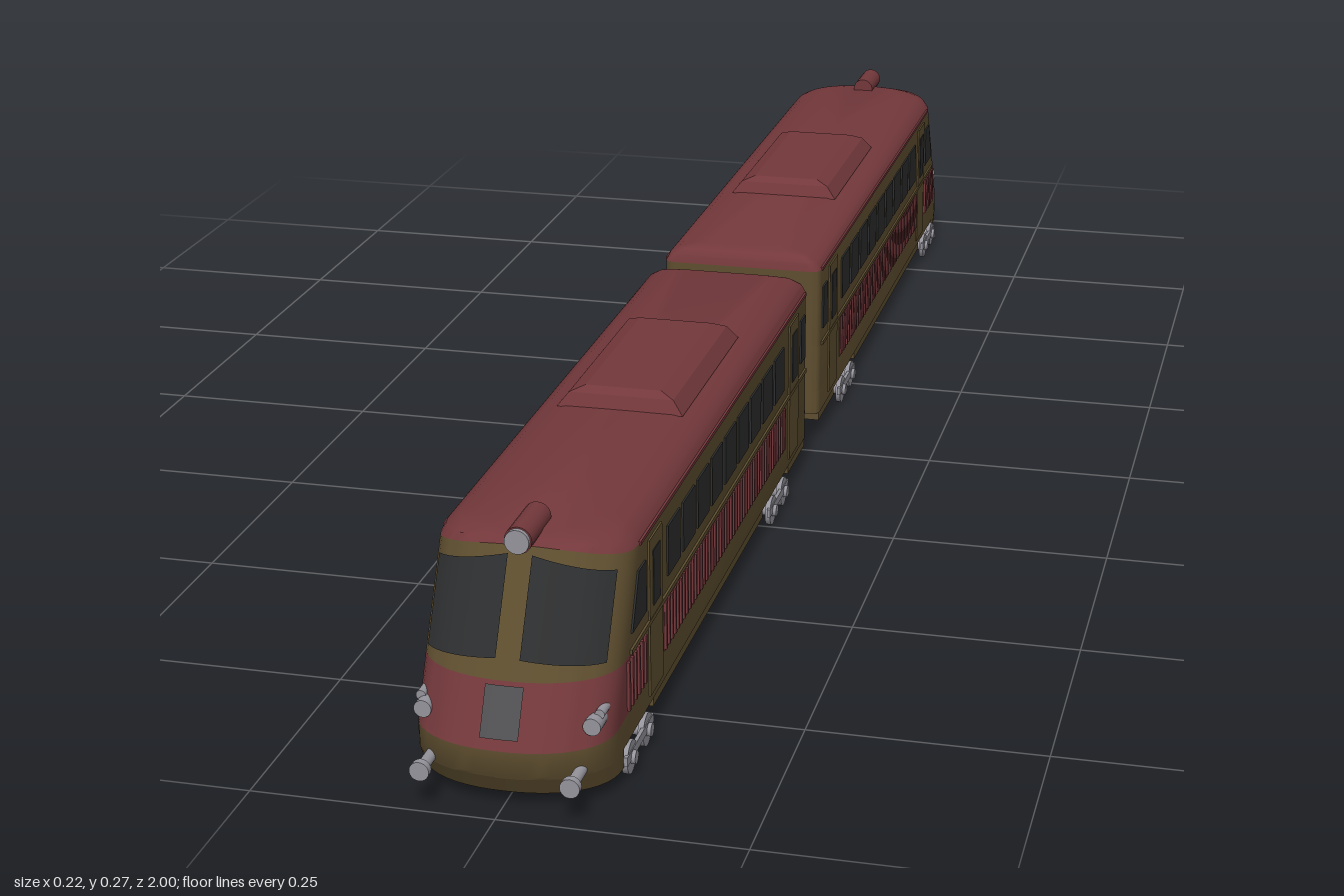
import * as THREE from 'three';
import { mergeGeometries, toCreasedNormals } from 'three/addons/utils/BufferGeometryUtils.js';

const mat = (name, color, side = THREE.FrontSide) => {
  const m = new THREE.MeshStandardMaterial({ color, side });
  m.name = name;
  return m;
};

// Side profile of the nose: [height, z of its foremost point]
const TIP = [[0.015, 0.97], [0.04, 0.985], [0.065, 0.985], [0.125, 0.955], [0.24, 0.893], [0.25, 0.86]];
const HALF = 0.1, DEPTH = 0.07, POW = 2.2, STEPS = 24;

function tip(y) {
  for (let i = 1; i < TIP.length; i++) {
    const [y0, z0] = TIP[i - 1], [y1, z1] = TIP[i];
    if (y <= y1) return z0 + (z1 - z0) * Math.max(0, (y - y0) / (y1 - y0));
  }
  return TIP[TIP.length - 1][1];
}

// Point on the rounded nose, u from -1 to 1 across the width
function nosePoint(u, y, w = HALF) {
  const k = Math.pow(Math.max(0, 1 - Math.pow(Math.abs(u), POW)), 1 / POW);
  return new THREE.Vector3(u * w, y, tip(y) - DEPTH * (1 - k));
}

// Horizontal outline of the car: nose, left side, rounded rear, right side
function ring({ y, w = HALF, rise = 0, rear = 0.035, r = 0.012 }) {
  const pts = [];
  for (let i = 0; i <= STEPS; i++) {
    const u = Math.sin((i / STEPS - 0.5) * Math.PI);
    pts.push(nosePoint(u, y + rise * (1 - u * u), w));
  }
  const zb = Math.max(rear + r, Math.min(0.81, tip(y) - DEPTH - 0.005));
  const z0 = rear + (HALF - w) * 0.5;
  pts.push(new THREE.Vector3(w, y, zb));
  for (let c = 0; c < 2; c++) {
    for (let i = 0; i <= 4; i++) {
      const a = (c + i / 4) * Math.PI / 2;
      const cx = c ? -(w - r) : w - r;
      pts.push(new THREE.Vector3(cx + r * Math.cos(a), y, z0 + r - r * Math.sin(a)));
    }
  }
  pts.push(new THREE.Vector3(-w, y, zb));
  return pts;
}

function triangles(list) {
  const g = new THREE.BufferGeometry().setFromPoints(list);
  g.computeVertexNormals();
  return toCreasedNormals(g, 0.6);
}

// Skin between stacked outlines; pick chooses which strips to keep
function loft(layers, pick = () => true, capTop = false, capBottom = false) {
  const rings = layers.map(ring), out = [], n = rings[0].length;
  for (let k = 0; k + 1 < rings.length; k++) {
    for (let i = 0; i < n; i++) {
      if (!pick(i, n)) continue;
      const j = (i + 1) % n, [lo, hi] = [rings[k], rings[k + 1]];
      out.push(lo[i], lo[j], hi[j], lo[i], hi[j], hi[i]);
    }
  }
  const cap = (pts, up) => {
    const c = new THREE.Vector3();
    pts.forEach(p => c.addScaledVector(p, 1 / pts.length));
    pts.forEach((p, i) => {
      const q = pts[(i + 1) % n];
      out.push(c, ...(up ? [p, q] : [q, p]));
    });
  };
  if (capTop) cap(rings[rings.length - 1], true);
  if (capBottom) cap(rings[0], false);
  return triangles(out);
}

// Thin curved plate lying just above the nose; heights vary from one edge to the other
function nosePatch(u0, u1, bottom, top, lift) {
  const N = 12, M = 4, out = [];
  const at = (i, j) => {
    const s = i / N, u = u0 + (u1 - u0) * s;
    const b = bottom[0] + (bottom[1] - bottom[0]) * s, t = top[0] + (top[1] - top[0]) * s;
    const y = b + (t - b) * j / M, e = 0.002;
    const du = nosePoint(u + e, y).sub(nosePoint(u - e, y));
    const dy = nosePoint(u, y + e).sub(nosePoint(u, y - e));
    return nosePoint(u, y).addScaledVector(du.cross(dy).normalize(), lift);
  };
  for (let i = 0; i < N; i++) for (let j = 0; j < M; j++) {
    const a = at(i, j), b = at(i + 1, j), c = at(i + 1, j + 1), d = at(i, j + 1);
    out.push(a, b, c, a, c, d);
  }
  return triangles(out);
}

const box = (x0, x1, y0, y1, z0, z1) =>
  new THREE.BoxGeometry(x1 - x0, y1 - y0, z1 - z0).translate((x0 + x1) / 2, (y0 + y1) / 2, (z0 + z1) / 2);
const rod = (r, x, y, z0, z1) =>
  new THREE.CylinderGeometry(r, r, z1 - z0, 20).rotateX(Math.PI / 2).translate(x, y, (z0 + z1) / 2);
const disc = (r, x0, x1, y, z) =>
  new THREE.CylinderGeometry(r, r, x1 - x0, 20).rotateZ(Math.PI / 2).translate((x0 + x1) / 2, y, z);

export function createModel() {
  const red = mat('red paint', 0x73383b);
  const brown = mat('olive brown paint', 0x5e4e2f);
  const glass = mat('dark glass', 0x2d2e2f, THREE.DoubleSide);
  const rubber = mat('dark rubber', 0x38383a);
  const steel = mat('light steel', 0x96949c);
  const grey = mat('grille grey', 0x505052, THREE.DoubleSide);

  function buildCar(name) {
    const car = new THREE.Group();
    car.name = name;
    const add = (n, material, ...geos) => {
      const m = new THREE.Mesh(geos.length > 1 ? mergeGeometries(geos) : geos[0], material);
      m.name = n;
      car.add(m);
    };
    const isNose = (i, n) => i <= STEPS || i === n - 1;

    // Body shell in colour bands
    const eaves = { y: 0.225, rise: 0.015 };
    add('lowerBody', brown, loft([{ y: 0.035 }, { y: 0.04 }, { y: 0.065 }], undefined, false, true));
    add('noseBand', red, loft([{ y: 0.065 }, { y: 0.125 }], isNose));
    add('sideBand', brown, loft([{ y: 0.065 }, { y: 0.125 }], (i, n) => !isNose(i, n)));
    add('upperBody', brown, loft([{ y: 0.125 }, eaves]));
    add('roof', red, loft([eaves, { y: 0.235, w: 0.095, rise: 0.009 }, { y: 0.242, w: 0.084, rise: 0.005 },
      { y: 0.247, w: 0.06, rise: 0.001 }], undefined, true));
    add('noseSkirt', brown, loft([{ y: 0.015, rear: 0.893, r: 0.004 }, { y: 0.036, rear: 0.893, r: 0.004 }], undefined, false, true));

    // Skirts and equipment between the wheels
    add('underframe', brown, box(-0.099, 0.099, 0.024, 0.036, 0.28, 0.78), box(-0.099, 0.099, 0.024, 0.036, 0.045, 0.14),
      box(-0.07, 0.07, 0.017, 0.026, 0.3, 0.46));

    // Raised roof housing with chamfered sides
    const hump = new THREE.BoxGeometry(1, 1, 1, 1, 2, 1);
    const hp = hump.attributes.position;
    const rows = [[0.07, 0.246, 0.13], [0.058, 0.261, 0.123], [0.042, 0.267, 0.113]];
    for (let i = 0; i < hp.count; i++) {
      const [w, y, l] = rows[Math.round((hp.getY(i) + 0.5) * 2)];
      hp.setXYZ(i, Math.sign(hp.getX(i)) * w, y, 0.41 + Math.sign(hp.getZ(i)) * l);
    }
    add('roofHousing', red, toCreasedNormals(hump, 0.2));

    // Roof headlight
    add('headlightHousing', red, rod(0.014, 0, 0.25, 0.84, 0.905));
    add('headlightLens', steel, rod(0.0125, 0, 0.25, 0.9, 0.91));

    // Windscreens and nose grille
    add('leftWindscreen', glass, nosePatch(0.12, 0.88, [0.143, 0.136], [0.232, 0.215], 0.003));
    add('rightWindscreen', glass, nosePatch(-0.88, -0.12, [0.136, 0.143], [0.215, 0.232], 0.003));
    add('noseGrille', grey, nosePatch(-0.19, 0.19, [0.075, 0.075], [0.121, 0.121], 0.003));

    for (const s of [-1, 1]) {
      const side = s < 0 ? 'right' : 'left';
      const plate = (t, y0, y1, z0, z1) => box(s * HALF - t, s * HALF + t, y0, y1, z0, z1);

      // Side windows and the slanted cab window
      const panes = [];
      for (let i = 0; i < 9; i++) panes.push(plate(0.002, 0.145, 0.2, 0.676 - i * 0.0625, 0.726 - i * 0.0625));
      panes.push(plate(0.003, 0.14, 0.2, 0.762, 0.788), plate(0.003, 0.14, 0.2, 0.107, 0.133), plate(0.002, 0.145, 0.2, 0.055, 0.08));
      add(side + 'Windows', glass, ...panes);
      const cab = new THREE.Shape([[0.812, 0.145], [0.866, 0.145], [0.84, 0.2], [0.812, 0.2]].map(p => new THREE.Vector2(...p)));
      add(side + 'CabWindow', glass, new THREE.ExtrudeGeometry(cab, { depth: 0.004, bevelEnabled: false })
        .rotateY(-Math.PI / 2).translate(s * HALF + 0.002, 0, 0));

      // Ribbed panels
      const ribs = [plate(0.001, 0.067, 0.123, 0.168, 0.74)];
      for (let z = 0.172; z < 0.738; z += 0.0125) ribs.push(plate(0.003, 0.069, 0.121, z, z + 0.005));
      for (let z = 0.815; z < 0.88; z += 0.0125) ribs.push(plate(0.003, 0.069, 0.121, z, z + 0.005));
      add(side + 'RibbedPanels', red, ...ribs);

      // Doors, waist rail and gutter
      add(side + 'Doors', brown, plate(0.002, 0.045, 0.215, 0.75, 0.8), plate(0.002, 0.045, 0.215, 0.095, 0.145));
      add(side + 'WaistRail', brown, plate(0.0025, 0.124, 0.129, 0.05, 0.87));
      add(side + 'Gutter', red, plate(0.0015, 0.223, 0.227, 0.05, 0.83));

      // Bumpers and lower lamps
      add(side + 'Bumper', steel, rod(0.006, s * 0.075, 0.042, 0.94, 0.995), rod(0.01, s * 0.075, 0.042, 0.992, 1));
      add(side + 'Lamp', steel, rod(0.009, s * 0.085, 0.086, 0.915, 0.956), rod(0.005, s * 0.09, 0.095, 0.915, 0.945));

      // Wheels, axle boxes and bogie side frames
      for (const zc of [0.848, 0.21]) {
        const parts = [box(s * 0.102 - 0.002, s * 0.102 + 0.002, 0.016, 0.026, zc - 0.05, zc + 0.05)];
        for (const z of [zc - 0.03, zc + 0.03]) {
          parts.push(disc(0.0175, s * 0.1 - 0.003, s * 0.1 + 0.003, 0.0175, z));
          parts.push(disc(0.007, s * 0.096 - 0.012, s * 0.096 + 0.012, 0.0175, z));
        }
        add(side + (zc > 0.5 ? 'Front' : 'Rear') + 'Bogie', steel, ...parts);
      }
    }
    return car;
  }

  const model = new THREE.Group();
  model.name = 'twinRailcar';
  const front = buildCar('frontCar'), back = buildCar('rearCar');
  back.rotation.y = Math.PI;
  model.add(front, back);

  // Pleated gangway joining the cars
  const pleats = [box(-0.045, 0.045, 0.055, 0.205, -0.04, 0.04)];
  for (let i = -3; i <= 3; i++) pleats.push(box(-0.05, 0.05, 0.05, 0.21, i * 0.009 - 0.0025, i * 0.009 + 0.0025));
  const gangway = new THREE.Mesh(mergeGeometries(pleats), rubber);
  gangway.name = 'gangway';
  model.add(gangway);
  return model;
}
